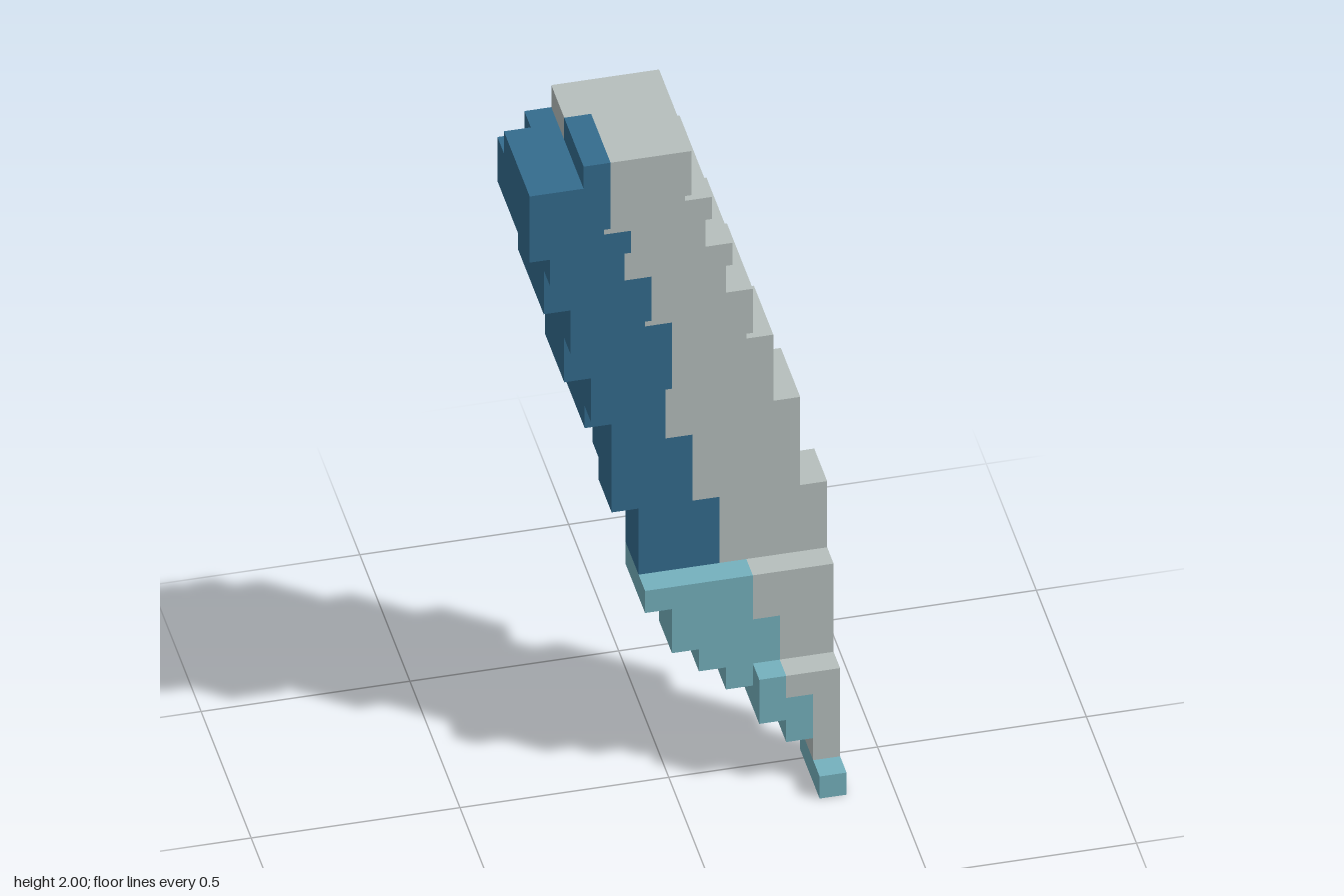
import * as THREE from 'three';
import { mergeGeometries } from 'three/addons/utils/BufferGeometryUtils.js';

// A curved block-built blade on a 12 x 31 x 7 grid of cubes.
const U = 2 / 31, NX = 12, NY = 31, NZ = 7;

// Lowest and highest cube edge of each column in the front outline
const bottom = [27, 23, 19, 16, 12, 8, 6, 5, 4, 3, 2, 0];
const top = [30, 30, 31, 31, 31, 31, 28, 25, 22, 19, 16, 12];

// Stepped upper limits of the two rear layers
const rearTop = [
  [0, 0, 0, 20, 21, 21, 22, 23, 22, 19, 16, 12],
  [0, 25, 26, 26, 27, 27, 28, 25, 22, 19, 16, 12],
];
// Stepped lower limits of the four front layers (columns beyond are empty)
const frontBottom = [
  [0, 0, 0, 17, 17, 18, 18, 19, 20],
  [0, 0, 21, 22, 22, 23, 23, 24],
  [27, 25, 25, 26, 26, 26, 27],
  [27, 28, 28, 29, 29, 29],
];
// The tip curves forward again: first column and height of each front layer there
const tip = [[5, 9], [9, 5], [11, 1], [12, 0]];

function solid(x, y, z) {
  if (x < 0 || x >= NX || z < 0 || z >= NZ) return false;
  if (y < bottom[x] || y >= top[x]) return false;
  if (z === 0) return y >= 13 && y < rearTop[0][x];
  if (z === 1) return y >= (x === 9 ? 6 : 7) && y < rearTop[1][x];
  if (z === 2) return y >= 3 && !(x === 0 && y >= 29);
  const f = z - 3;
  const [firstX, height] = tip[f];
  return y >= (frontBottom[f][x] ?? NY) || (x >= firstX && y < height);
}

// Coloured cutting edge: [from height, columns left of this are coloured]
const edge = [[27, 3], [24, 4], [21, 5], [15, 6], [12, 7], [9, 8], [7, 9], [4, 10], [2, 11], [1, 0], [0, 12]];

function colourOf(x, y, z) {
  if (y === 30 && z < 4) return 'body';
  const width = edge.find(([from]) => y >= from)[1];
  if (x >= width) return 'body';
  return y >= 9 ? 'edge' : 'tip';
}

// One outward-facing square for each side of a cube
function square(rx, ry, dir) {
  return {
    dir,
    geometry: new THREE.PlaneGeometry(U, U).rotateX(rx).rotateY(ry)
      .translate(dir[0] * U / 2, dir[1] * U / 2, dir[2] * U / 2),
  };
}

export function createModel() {
  const H = Math.PI / 2;
  const sides = [
    square(0, 0, [0, 0, 1]), square(0, Math.PI, [0, 0, -1]),
    square(0, H, [1, 0, 0]), square(0, -H, [-1, 0, 0]),
    square(-H, 0, [0, 1, 0]), square(H, 0, [0, -1, 0]),
  ];
  const parts = { body: [], edge: [], tip: [] };

  // Collect the exposed squares of each part
  for (let x = 0; x < NX; x++) for (let y = 0; y < NY; y++) for (let z = 0; z < NZ; z++) {
    if (!solid(x, y, z)) continue;
    for (const { dir, geometry } of sides) {
      if (solid(x + dir[0], y + dir[1], z + dir[2])) continue;
      parts[colourOf(x, y, z)].push(geometry.clone().translate(
        (x + 0.5 - NX / 2) * U, (y + 0.5) * U, (z + 0.5 - NZ / 2) * U));
    }
  }

  const looks = {
    body: ['bladeBody', 'paleGrey', 0xb6bfbd],
    edge: ['bladeEdge', 'deepBlue', 0x346c8e],
    tip: ['bladeTip', 'paleTeal', 0x75b1be],
  };
  const group = new THREE.Group();
  group.name = 'blade';
  for (const key of Object.keys(looks)) {
    const [name, colourName, color] = looks[key];
    const material = new THREE.MeshStandardMaterial({ color });
    material.name = colourName;
    const mesh = new THREE.Mesh(mergeGeometries(parts[key]), material);
    mesh.name = name;
    group.add(mesh);
  }
  return group;
}
